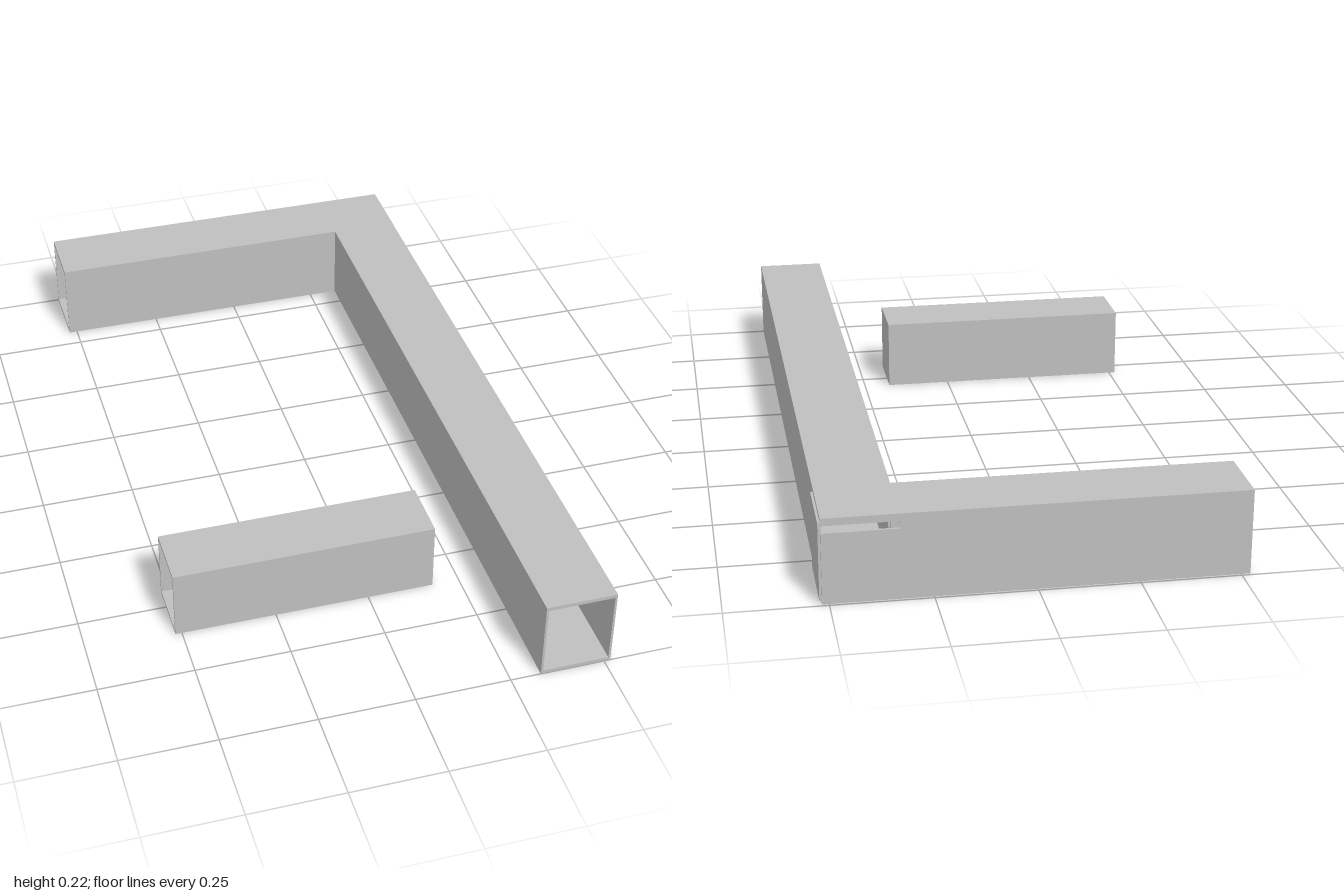
import * as THREE from 'three';

export function createModel() {
  const model = new THREE.Group();
  const grey = new THREE.MeshStandardMaterial({ color: 0xbfbfbf });
  grey.name = 'plain grey';

  // box given by its low and high corners
  function slab(parent, name, x0, x1, y0, y1, z0, z1) {
    const mesh = new THREE.Mesh(new THREE.BoxGeometry(x1 - x0, y1 - y0, z1 - z0), grey);
    mesh.position.set((x0 + x1) / 2, (y0 + y1) / 2, (z0 + z1) / 2);
    mesh.name = name;
    parent.add(mesh);
  }

  function section(name) {
    const group = new THREE.Group();
    group.name = name;
    model.add(group);
    return group;
  }

  const L = -0.523, inner = 0.33, R = 0.517;
  const back = -0.993, branchFront = -0.81, t = 0.006;

  // long passage, open at the front
  const long = section('longPassage');
  slab(long, 'floor', inner, R, 0, 0.01, back, 1);
  slab(long, 'roof', inner, R, 0.21, 0.22, back, 1);
  slab(long, 'rightWall', inner, inner + t, 0.01, 0.21, branchFront, 1);
  slab(long, 'leftWall', R - t, R, 0.01, 0.21, branchFront, 1);

  // side passage, open at its far end
  const side = section('sidePassage');
  slab(side, 'floor', L, inner, 0, 0.01, back, branchFront);
  slab(side, 'roof', L, inner, 0.21, 0.22, back, branchFront);
  slab(side, 'frontWall', L, inner, 0.01, 0.21, branchFront - t, branchFront);
  slab(side, 'backWall', L, inner, 0.01, 0.21, back, back + t);

  // corner panels, the back one leaving a slot below the roof
  const corner = section('corner');
  slab(corner, 'sidePanel', R - 0.002, 0.523, 0.01, 0.21, back, branchFront);
  slab(corner, 'backPanel', inner, R, 0.01, 0.185, -1, back);
  slab(corner, 'lintel', inner, R, 0.2, 0.21, back + 0.002, back + t);

  // separate short passage, closed at the inner end
  const short = section('shortPassage');
  const sl = -0.517, sr = 0.177, sb = 0.44, sf = 0.607;
  slab(short, 'floor', sl, sr, 0, 0.008, sb, sf);
  slab(short, 'roof', sl, sr, 0.183, 0.191, sb, sf);
  slab(short, 'backWall', sl, sr, 0.008, 0.183, sb, sb + t);
  slab(short, 'frontWall', sl, sr, 0.008, 0.183, sf - t, sf);
  slab(short, 'endWall', sr - t, sr, 0.008, 0.183, sb + t, sf - t);

  return model;
}
